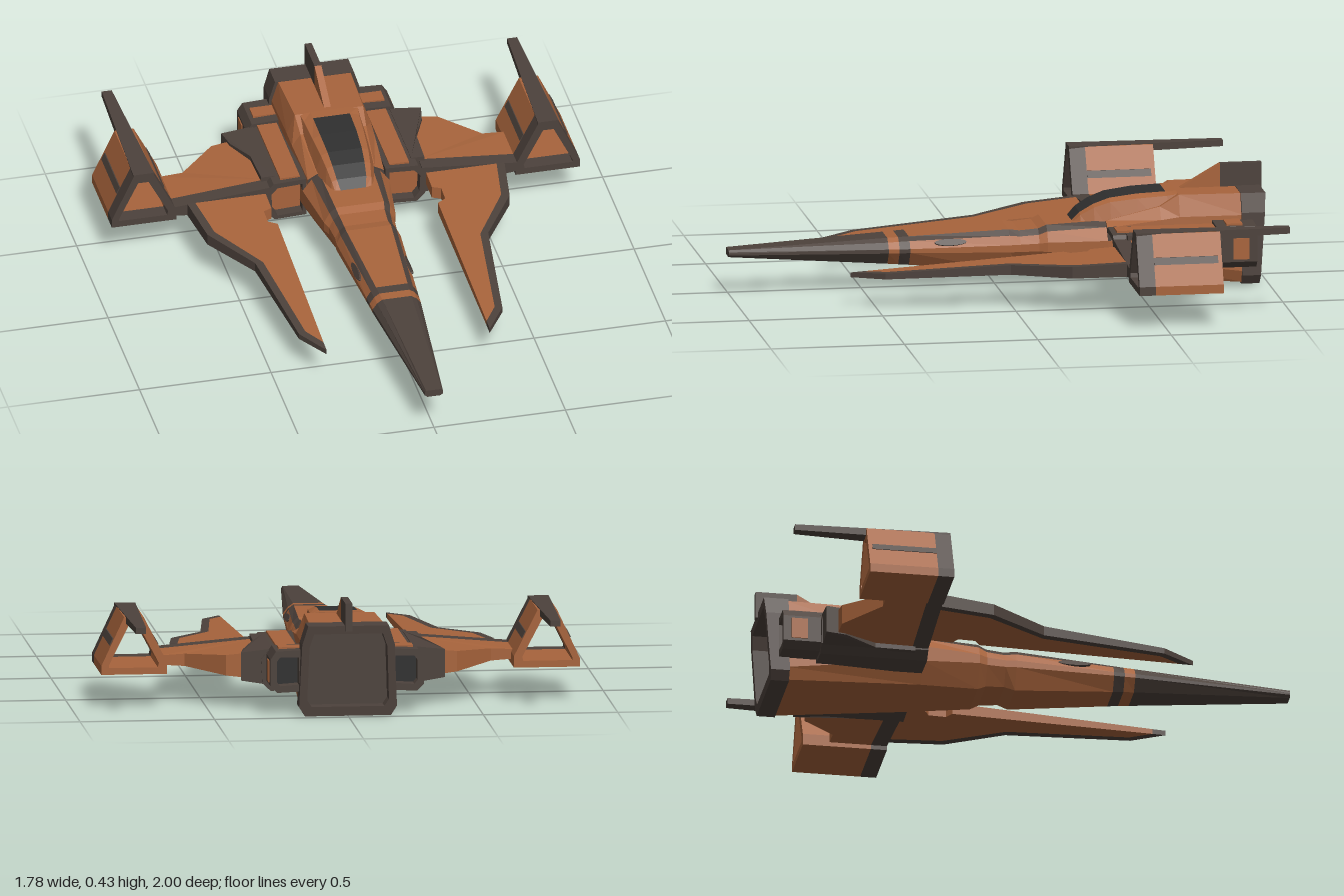
import * as THREE from 'three';

const paint = (name, color) => Object.assign(new THREE.MeshStandardMaterial({ color }), { name });

export function createModel() {
  const model = new THREE.Group();
  model.name = 'starfighter';
  const orange = paint('rust orange', 0xa8643c);
  const dark = paint('dark trim', 0x4d423c);
  const glass = paint('canopy glass', 0x2f2f2f);

  const add = (name, geo, mat) => {
    const g = geo.index ? geo.toNonIndexed() : geo;
    g.computeVertexNormals();
    const mesh = new THREE.Mesh(g, mat);
    mesh.name = name;
    model.add(mesh);
  };

  // Adds a part on the left and its mirror image on the right
  const pair = (name, geo, mat) => {
    const left = geo.index ? geo.toNonIndexed() : geo;
    const right = left.clone();
    const p = right.attributes.position;
    for (let i = 0; i < p.count; i += 3) {
      const t = [0, 2, 1].map((k) => [-p.getX(i + k), p.getY(i + k), p.getZ(i + k)]);
      t.forEach((v, k) => p.setXYZ(i + k, ...v));
    }
    add(name + 'Left', left, mat);
    add(name + 'Right', right, mat);
  };

  const outline = (pts) => new THREE.Shape(pts.map(([x, y]) => new THREE.Vector2(x, y)));

  // Front-facing profile swept from z0 (back) to z1 (front), with an optional hole
  const sweep = (pts, hole, z0, z1) => {
    const s = outline(pts);
    if (hole) s.holes.push(outline(hole));
    return new THREE.ExtrudeGeometry(s, { depth: z1 - z0, bevelEnabled: false }).translate(0, 0, z0);
  };

  // Plan outline of [x, z] points; bottom and top heights follow a rule
  const slab = (pts, bottom, top) => {
    const g = new THREE.ExtrudeGeometry(outline(pts.map(([x, z]) => [x, -z])), { depth: 1, bevelEnabled: false });
    g.rotateX(-Math.PI / 2);
    const p = g.attributes.position;
    for (let i = 0; i < p.count; i++) {
      p.setY(i, (p.getY(i) > 0.5 ? top : bottom)(p.getX(i), p.getZ(i)));
    }
    return g;
  };
  const at = (y) => () => y;

  // Symmetric hull from stations [z, x, y, x, y ...], front to back, top to bottom.
  // pick(segment, strip) gives the material; strip -1 is the top face.
  const loft = (name, stations, pick, cap) => {
    const rings = stations.map(([z, ...v]) => {
      const half = [];
      for (let i = 0; i < v.length; i += 2) half.push([v[i], v[i + 1], z]);
      return [...half, ...half.slice().reverse().map(([x, y]) => [-x, y, z])];
    });
    const m = rings[0].length, n = m / 2;
    const faces = new Map();
    const tri = (mat, ...pts) => {
      if (!faces.has(mat)) faces.set(mat, []);
      faces.get(mat).push(...pts.flat());
    };
    for (let i = 0; i < rings.length - 1; i++) {
      for (let j = 0; j < m; j++) {
        const k = (j + 1) % m;
        const mat = pick(i, j < n ? j : m - 2 - j);
        const [a, b, c, d] = [rings[i][j], rings[i][k], rings[i + 1][k], rings[i + 1][j]];
        tri(mat, a, b, c);
        tri(mat, a, c, d);
      }
    }
    const f = rings[0], r = rings[rings.length - 1];
    for (let k = 1; k < m - 1; k++) {
      tri(cap, f[0], f[k + 1], f[k]);
      tri(cap, r[0], r[k], r[k + 1]);
    }
    for (const [mat, pos] of faces) {
      const g = new THREE.BufferGeometry();
      g.setAttribute('position', new THREE.Float32BufferAttribute(pos, 3));
      add(name, g, mat);
    }
  };

  // Nose and lower fuselage
  loft('fuselage', [
    [1, 0.03, 0.165, 0.034, 0.158, 0.035, 0.153, 0.035, 0.146, 0.025, 0.138],
    [0.41, 0.055, 0.197, 0.075, 0.183, 0.092, 0.16, 0.092, 0.145, 0.06, 0.1],
    [0.37, 0.057, 0.199, 0.077, 0.185, 0.094, 0.16, 0.094, 0.145, 0.062, 0.097],
    [0.33, 0.06, 0.201, 0.08, 0.187, 0.097, 0.16, 0.097, 0.145, 0.064, 0.094],
    [-0.04, 0.085, 0.22, 0.106, 0.2, 0.122, 0.167, 0.122, 0.14, 0.085, 0.062],
    [-0.08, 0.083, 0.214, 0.102, 0.195, 0.118, 0.167, 0.118, 0.14, 0.08, 0.075],
    [-0.15, 0.087, 0.22, 0.108, 0.2, 0.124, 0.17, 0.124, 0.14, 0.085, 0.07],
    [-0.18, 0.092, 0.234, 0.115, 0.213, 0.136, 0.175, 0.136, 0.14, 0.09, 0.055],
    [-0.4, 0.1, 0.245, 0.13, 0.225, 0.165, 0.18, 0.165, 0.12, 0.12, 0.042],
    [-0.91, 0.12, 0.25, 0.15, 0.24, 0.17, 0.2, 0.178, 0.05, 0.16, 0.006],
  ], (i, k) => (i === 0 || i === 2 || (i > 2 && k === 0) ? dark : orange), dark);

  // Raised rear hull
  loft('rearHull', [
    [-0.4, 0.11, 0.245, 0.145, 0.225, 0.15, 0.15],
    [-0.6, 0.125, 0.295, 0.157, 0.25, 0.165, 0.15],
    [-0.67, 0.13, 0.338, 0.16, 0.26, 0.17, 0.15],
    [-0.91, 0.138, 0.338, 0.163, 0.26, 0.172, 0.15],
  ], () => orange, dark);

  // Cockpit: glass along the top, frame down the sides
  loft('cockpit', [
    [-0.28, 0.048, 0.238, 0.068, 0.232, 0.088, 0.2],
    [-0.31, 0.056, 0.27, 0.075, 0.262, 0.1, 0.2],
    [-0.36, 0.061, 0.3, 0.083, 0.29, 0.112, 0.2],
    [-0.42, 0.065, 0.322, 0.09, 0.31, 0.124, 0.2],
    [-0.52, 0.069, 0.335, 0.098, 0.322, 0.138, 0.2],
    [-0.63, 0.07, 0.34, 0.105, 0.33, 0.15, 0.2],
    [-0.67, 0.07, 0.341, 0.11, 0.336, 0.155, 0.2],
  ], (i, k) => (k === -1 && i < 5 ? glass : orange), orange);

  // Exhaust frame, leaning back toward the top
  const nozzle = sweep(
    [[-0.16, 0], [0.16, 0], [0.182, 0.035], [0.172, 0.27], [0.15, 0.34], [-0.15, 0.34], [-0.172, 0.27], [-0.182, 0.035]],
    [[-0.135, 0.035], [0.135, 0.035], [0.152, 0.06], [0.145, 0.26], [0.128, 0.31], [-0.128, 0.31], [-0.145, 0.26], [-0.152, 0.06]],
    -0.985, -0.9);
  const np = nozzle.attributes.position;
  for (let i = 0; i < np.count; i++) {
    if (np.getZ(i) < -0.95) np.setZ(i, -0.968 - np.getY(i) * 0.07);
  }
  add('exhaustFrame', nozzle, dark);

  // Tail fin, profile in [-z, y]
  const fin = (pts) => new THREE.ExtrudeGeometry(outline(pts), { depth: 0.026, bevelEnabled: false })
    .rotateY(Math.PI / 2).translate(-0.013, 0, 0);
  add('tailFinFront', fin([[0.68, 0.33], [0.845, 0.33], [0.845, 0.425]]), orange);
  add('tailFinRear', fin([[0.845, 0.32], [1, 0.32], [1, 0.425], [0.845, 0.425]]), dark);

  // Side engines with open intakes
  const ring = [[0.15, 0.075], [0.27, 0.07], [0.3, 0.1], [0.305, 0.19], [0.275, 0.225], [0.15, 0.23]];
  const bore = [[0.165, 0.09], [0.26, 0.085], [0.28, 0.11], [0.283, 0.18], [0.26, 0.205], [0.165, 0.21]];
  pair('intakeRim', sweep(ring, bore, -0.48, -0.4), dark);
  pair('intakeDuct', sweep(bore, null, -0.5, -0.44), orange);
  pair('engineBody', sweep(ring, null, -0.8, -0.48), dark);
  pair('engineTail', sweep([[0.15, 0.09], [0.26, 0.085], [0.285, 0.11], [0.285, 0.21], [0.265, 0.24], [0.15, 0.245]],
    [[0.18, 0.115], [0.25, 0.11], [0.262, 0.125], [0.262, 0.2], [0.25, 0.217], [0.18, 0.217]], -0.94, -0.79), dark);
  pair('engineTailCore', new THREE.BoxGeometry(0.1, 0.12, 0.04).translate(0.22, 0.165, -0.87), glass);
  pair('engineTopPanel', slab([[0.17, -0.42], [0.245, -0.42], [0.245, -0.79], [0.17, -0.79]], at(0.225), at(0.234)), orange);
  pair('tailTopPanel', slab([[0.165, -0.83], [0.25, -0.83], [0.25, -0.89], [0.165, -0.89]], at(0.239), at(0.248)), orange);
  pair('tailSidePanel', new THREE.BoxGeometry(0.006, 0.08, 0.06).translate(0.286, 0.16, -0.88), orange);
  pair('engineFairing', slab([[0.26, -0.45], [0.31, -0.45], [0.315, -0.6], [0.365, -0.72], [0.38, -0.795], [0.26, -0.795]],
    (x) => (x > 0.34 ? 0.11 : 0.09), (x) => (x > 0.34 ? 0.215 : 0.228)), dark);

  // Main wings, thinning outward
  const low = (x) => 0.105 + 0.04 * Math.min(1, (x - 0.29) / 0.33);
  const high = (x) => 0.212 - 0.032 * Math.min(1, (x - 0.29) / 0.33);
  pair('wing', slab([[0.29, -0.46], [0.66, -0.46], [0.66, -0.615], [0.57, -0.615], [0.43, -0.745], [0.29, -0.755]], low, high), orange);
  pair('wingLeadingEdge', slab([[0.29, -0.4], [0.66, -0.4], [0.66, -0.46], [0.29, -0.46]], low, high), dark);

  // Forward blades with a dark outer edge
  const mid = (z) => 0.118 + 0.046 * (0.59 - z);
  const thick = (z) => 0.009 + 0.016 * (0.59 - z);
  const bladeLow = (x, z) => mid(z) - thick(z);
  const bladeHigh = (x, z) => mid(z) + thick(z);
  pair('blade', slab([[0.31, 0.54], [0.36, 0.46], [0.413, 0.01], [0.545, -0.21], [0.573, -0.4], [0.305, -0.4],
    [0.305, -0.31], [0.337, -0.295], [0.337, -0.23], [0.305, -0.21]], bladeLow, bladeHigh), orange);
  pair('bladeEdge', slab([[0.31, 0.59], [0.387, 0.47], [0.443, 0.01], [0.575, -0.2], [0.603, -0.4], [0.573, -0.4],
    [0.545, -0.21], [0.413, 0.01], [0.36, 0.46], [0.31, 0.54]], bladeLow, bladeHigh), dark);

  // Hollow triangular wingtip housings
  const tip = [[0.645, 0.127], [0.89, 0.127], [0.89, 0.16], [0.805, 0.342], [0.733, 0.342], [0.645, 0.17]];
  const tipHole = [[0.68, 0.152], [0.862, 0.152], [0.862, 0.162], [0.79, 0.308], [0.75, 0.308], [0.676, 0.168]];
  pair('wingtipRim', sweep(tip, tipHole, -0.46, -0.4), dark);
  pair('wingtipHousing', sweep(tip, tipHole, -0.715, -0.46), orange);
  pair('wingtipSpike', slab([[0.73, -0.4], [0.808, -0.4], [0.79, -0.98], [0.752, -0.98]],
    (x, z) => (z < -0.9 ? 0.322 : 0.312), at(0.345)), dark);

  // Stripes lying on the housing's sloped sides
  pair('outerStripe', sweep([[0.85, 0.235], [0.859, 0.235], [0.847, 0.26], [0.838, 0.26]], null, -0.7, -0.46), dark);
  pair('innerStripe', sweep([[0.675, 0.235], [0.684, 0.235], [0.697, 0.26], [0.688, 0.26]], null, -0.7, -0.46), dark);

  // Oval vents set on the nose sides
  const vent = new THREE.CylinderGeometry(1, 1, 0.008, 16).scale(0.013, 1, 0.06)
    .rotateZ(-Math.PI / 2 + 0.55).translate(0.1, 0.181, 0.18);
  pair('noseVent', vent, dark);

  return model;
}
